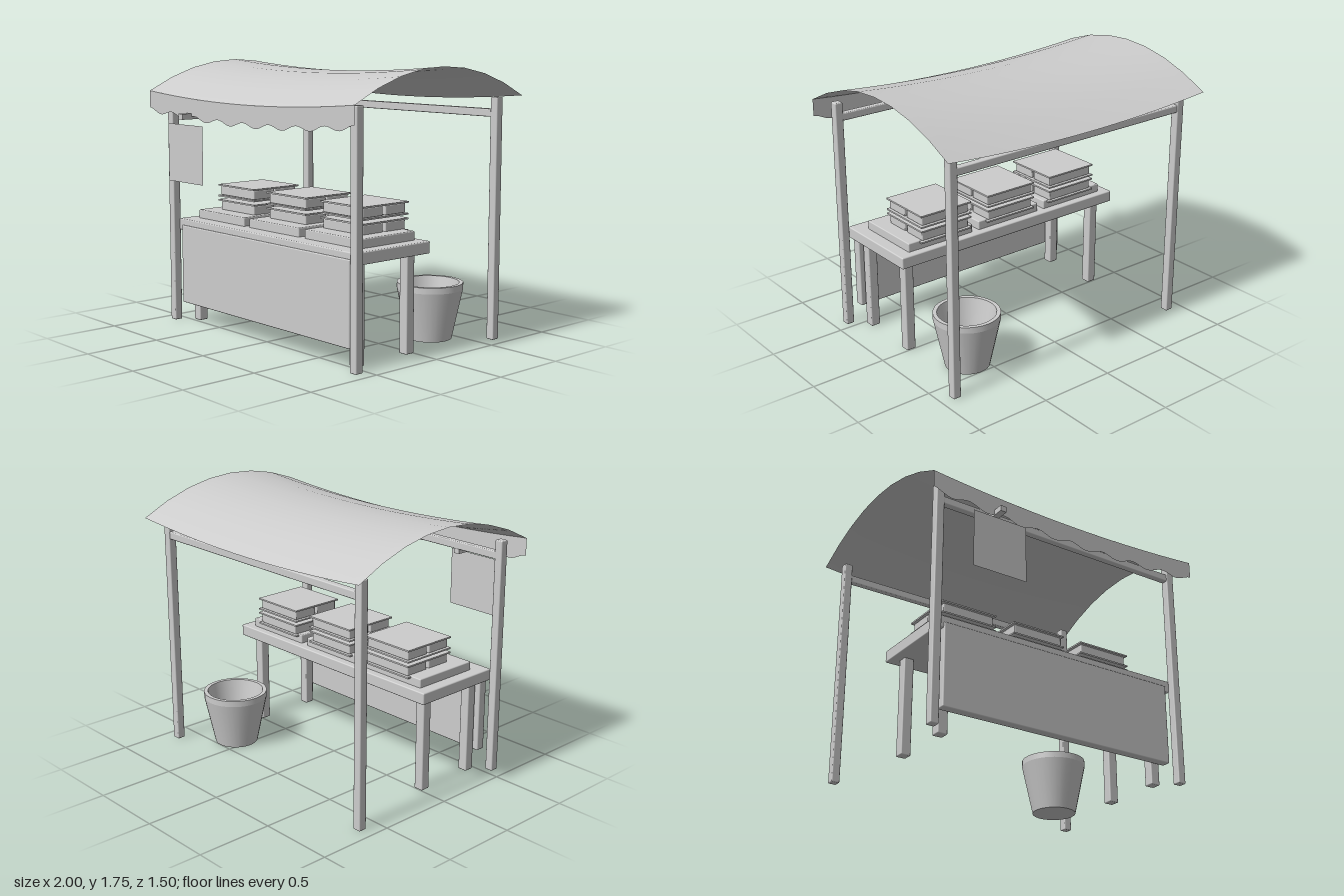
import * as THREE from 'three';
import { RoundedBoxGeometry } from 'three/addons/geometries/RoundedBoxGeometry.js';

export function createModel() {
  const model = new THREE.Group();
  model.name = 'marketStall';
  const grey = new THREE.MeshStandardMaterial({ color: 0xcccccc });
  grey.name = 'plain grey';
  const greySheet = new THREE.MeshStandardMaterial({ color: 0xcccccc, side: THREE.DoubleSide });
  greySheet.name = 'plain grey sheet';

  const add = (name, geometry, material = grey, parent = model) => {
    const mesh = new THREE.Mesh(geometry, material);
    mesh.name = name;
    parent.add(mesh);
    return mesh;
  };
  // Box given by its limits, with softly rounded edges when bevel > 0
  const box = (name, [x0, x1], [y0, y1], [z0, z1], bevel = 0.007, parent = model) => {
    const size = [x1 - x0, y1 - y0, z1 - z0];
    const geometry = bevel ? new RoundedBoxGeometry(...size, 2, bevel) : new THREE.BoxGeometry(...size);
    const mesh = add(name, geometry, grey, parent);
    mesh.position.set((x0 + x1) / 2, (y0 + y1) / 2, (z0 + z1) / 2);
    return mesh;
  };
  const around = (c, size) => [c - size / 2, c + size / 2];

  // Canopy: arched front to back, sagging between its two ends
  const zFront = 0.68, zBack = -0.745;
  const zMid = (zFront + zBack) / 2, zHalf = (zFront - zBack) / 2;
  const canopyY = (x, z) => 1.75 - 0.195 * ((z - zMid) / zHalf) ** 2 - 0.047 * (1 - x * x);
  const canopy = new THREE.PlaneGeometry(2, 2 * zHalf, 24, 8).rotateX(-Math.PI / 2).translate(0, 0, zMid);
  const cp = canopy.attributes.position;
  for (let i = 0; i < cp.count; i++) cp.setY(i, canopyY(cp.getX(i), cp.getZ(i)));
  canopy.computeVertexNormals();
  add('canopy', canopy, greySheet);

  // Scalloped valance hanging from the front edge
  const valance = new THREE.PlaneGeometry(2, 1, 96, 1).translate(0, 0, zFront);
  const vp = valance.attributes.position;
  for (let i = 0; i < vp.count; i++) {
    const x = vp.getX(i);
    const drop = vp.getY(i) > 0 ? 0 : 0.125 - 0.015 * Math.cos(x * Math.PI * 8);
    vp.setY(i, canopyY(x, zFront) - drop);
  }
  add('valance', valance, greySheet);

  // Four posts with a cross beam at the front and the back
  for (const [side, z] of [['front', 0.565], ['back', -0.626]]) {
    for (const s of [-1, 1]) {
      box(side + (s > 0 ? 'LeftPost' : 'RightPost'), around(s * 0.897, 0.055), [0, 1.545], around(z, 0.055));
    }
    box(side + 'Beam', [-0.88, 0.88], [1.42, 1.47], around(z, 0.045));
  }

  // Hanging sign and its bracket
  box('signBracket', around(-0.552, 0.042), [1.39, 1.427], [0.545, 0.75], 0);
  add('signBoard', new THREE.PlaneGeometry(0.375, 0.375), greySheet).position.set(-0.552, 1.168, 0.715);

  // Table
  box('tableTop', [-0.87, 0.87], [0.62, 0.697], [-0.07, 0.55], 0.008);
  box('frontPanel', [-0.83, 0.83], [0.127, 0.655], [0.498, 0.56], 0.008);
  for (const x of [-0.777, 0.777]) {
    for (const z of [0.447, 0.033]) box('tableLeg', around(x, 0.065), [0, 0.625], around(z, 0.065));
  }

  // Three trays, each with two layers of goods between thin boards
  for (const i of [-1, 0, 1]) {
    const stack = new THREE.Group();
    stack.name = 'goodsStack';
    model.add(stack);
    box('tray', around(i * 0.545 - 0.003, 0.492), [0.692, 0.754], around(0.21, 0.46), 0.007, stack);
    const x = i * 0.518 - 0.003;
    for (const y of [0.74, 0.842]) {
      for (const dy of [0, 0.073]) box('board', around(x, 0.385), [y + dy, y + dy + 0.01], around(0.145, 0.384), 0, stack);
      for (const z of [0.24, 0.051]) box('goodsBox', around(x, 0.355), [y + 0.011, y + 0.072], around(z, 0.167), 0.006, stack);
    }
  }

  // Open bucket behind the table, outside profile then rim and inside
  const outline = [
    [[0, 0], [0.143, 0]],
    [[0.143, 0], [0.212, 0.325]],
    [[0.212, 0.325], [0.212, 0.365]],
    [[0.212, 0.365], [0.186, 0.365]],
    [[0.186, 0.365], [0.125, 0.03]],
    [[0.125, 0.03], [0, 0.03]],
  ];
  const bucket = new THREE.Group();
  bucket.name = 'bucket';
  bucket.position.set(0.6, 0, -0.357);
  model.add(bucket);
  const names = ['bucketBase', 'bucketWall', 'bucketLip', 'bucketRim', 'bucketInside', 'bucketFloor'];
  outline.forEach((pair, i) => {
    const points = pair.map(([r, y]) => new THREE.Vector2(r, y));
    add(names[i], new THREE.LatheGeometry(points, 32), greySheet, bucket);
  });

  return model;
}
